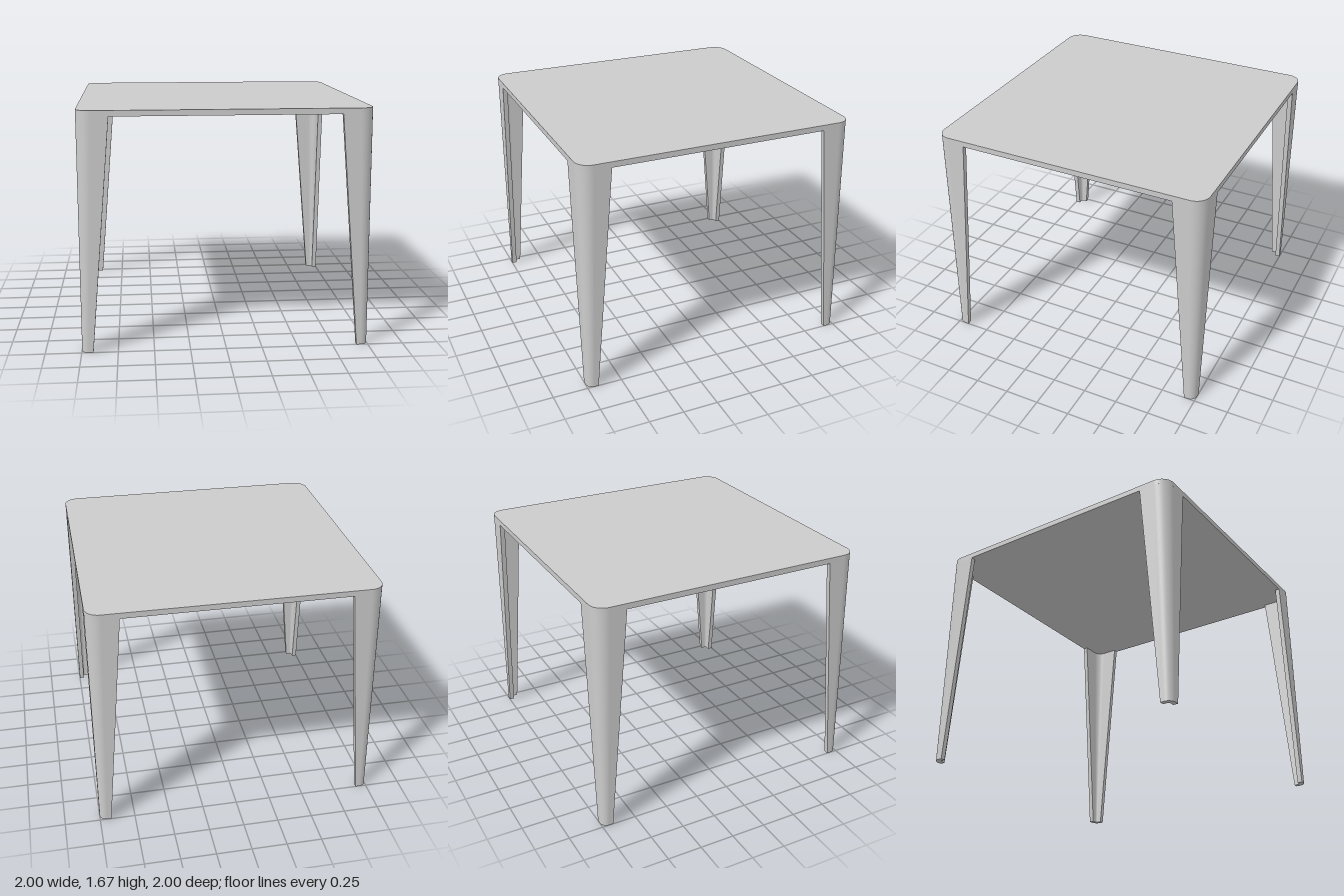
import * as THREE from 'three';
import { mergeGeometries, toCreasedNormals } from 'three/addons/utils/BufferGeometryUtils.js';

const HEIGHT = 1.67, TOP = 0.04, UNDER = HEIGHT - TOP, SHEET = 0.035, ARC = 12;
const TOP_RADIUS = 0.1, FOOT_RADIUS = 0.05;

// One face of the bent sheet, from one free edge round the corner to the other.
function bend(y, width, radius, inset) {
  const points = [new THREE.Vector3(1 - width, y, 1 - inset)];
  for (let i = 0; i <= ARC; i++) {
    const a = (i / ARC) * Math.PI / 2, r = radius - inset;
    points.push(new THREE.Vector3(1 - radius + r * Math.sin(a), y, 1 - radius + r * Math.cos(a)));
  }
  points.push(new THREE.Vector3(1 - inset, y, 1 - width));
  return points;
}

// Quad strip between two rows of points.
function strip(low, high) {
  const index = [], n = low.length;
  for (let i = 0; i < n - 1; i++) index.push(i, i + 1, n + i + 1, i, n + i + 1, n + i);
  const geometry = new THREE.BufferGeometry().setFromPoints([...low, ...high]);
  geometry.setIndex(index);
  geometry.computeVertexNormals();
  return geometry;
}

// Tapered leg folded around the table corner.
function legGeometry() {
  const [outLow, inLow] = [0, SHEET].map(t => bend(0, 0.08, FOOT_RADIUS, t));
  const [outHigh, inHigh] = [0, SHEET].map(t => bend(UNDER, 0.22, TOP_RADIUS, t));
  const end = outLow.length - 1;
  return mergeGeometries([
    strip(outLow, outHigh),
    strip([...inLow].reverse(), [...inHigh].reverse()),
    strip([outLow[end], inLow[end]], [outHigh[end], inHigh[end]]),
    strip([inLow[0], outLow[0]], [inHigh[0], outHigh[0]]),
    strip(inLow, outLow), // foot
  ]);
}

// Square slab with rounded corners.
function topGeometry() {
  const shape = new THREE.Shape(), c = 1 - TOP_RADIUS;
  [[c, c], [-c, c], [-c, -c], [c, -c]].forEach(([x, y], i) =>
    shape.absarc(x, y, TOP_RADIUS, i * Math.PI / 2, (i + 1) * Math.PI / 2));
  const geometry = new THREE.ExtrudeGeometry(shape, { depth: TOP, bevelEnabled: false, curveSegments: ARC });
  geometry.rotateX(-Math.PI / 2).translate(0, UNDER, 0);
  return toCreasedNormals(geometry, 0.6);
}

export function createModel() {
  const table = new THREE.Group();
  table.name = 'table';
  const material = new THREE.MeshStandardMaterial({ color: 0xcccccc });

  const top = new THREE.Mesh(topGeometry(), material);
  top.name = 'tableTop';
  table.add(top);

  const geometry = legGeometry();
  ['frontLeftLeg', 'backLeftLeg', 'backRightLeg', 'frontRightLeg'].forEach((name, i) => {
    const leg = new THREE.Mesh(geometry, material);
    leg.name = name;
    leg.rotation.y = i * Math.PI / 2;
    table.add(leg);
  });
  return table;
}
